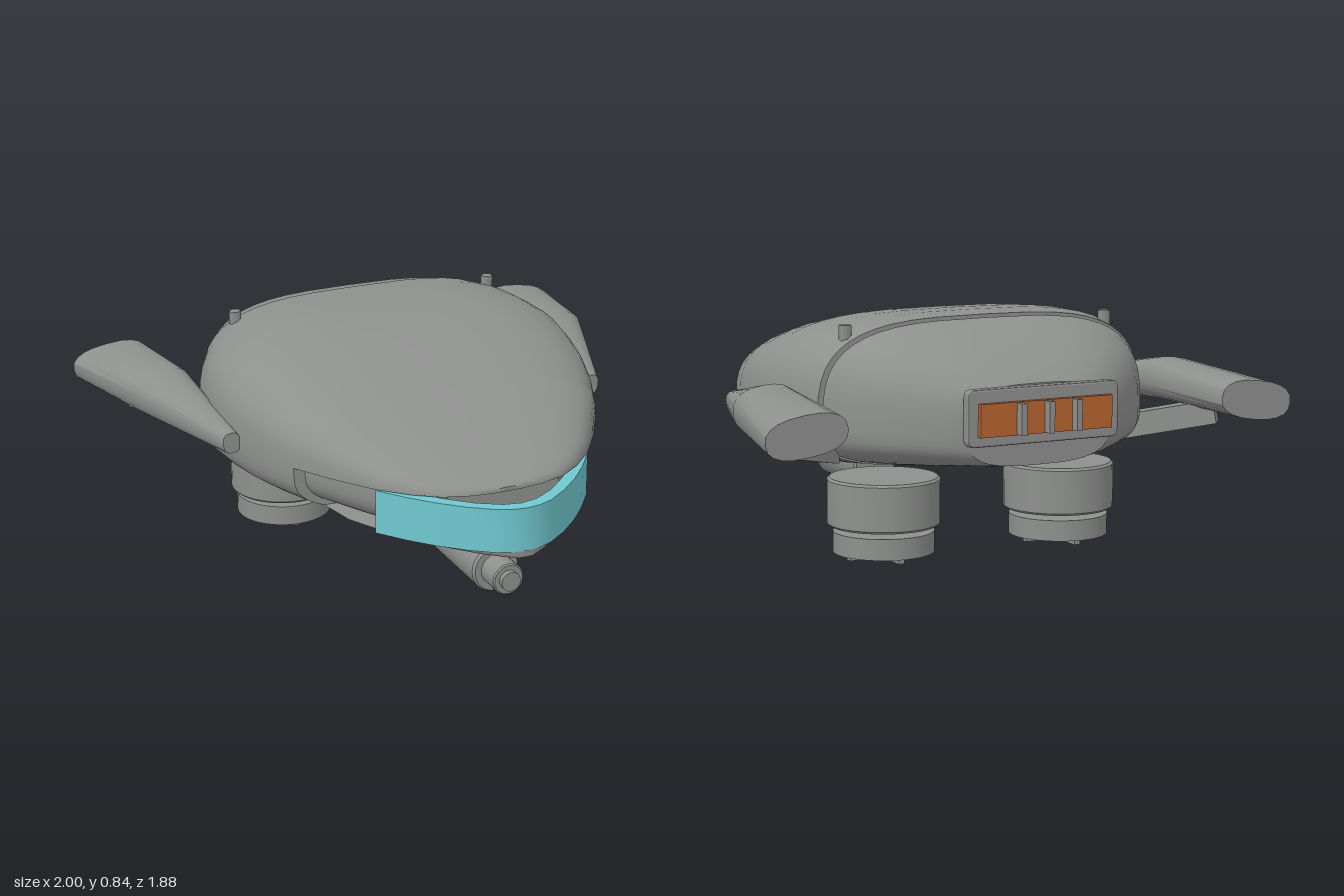
import * as THREE from 'three';
import { toCreasedNormals } from 'three/addons/utils/BufferGeometryUtils.js';

const paint = (name, color, side = THREE.FrontSide) => {
  const m = new THREE.MeshStandardMaterial({ color, side });
  m.name = name;
  return m;
};

const MID = 0.48; // height of the widest line of the hull
const SLOT_TOP = 0.495, SLOT_BOTTOM = 0.34;

// Superellipse ring, counter-clockwise seen from +z
function ring(cx, cy, z, w, up, down, nUp = 2, nDown = 2, count = 48, tilt = 0) {
  const pts = [];
  for (let i = 0; i < count; i++) {
    const a = (i / count) * Math.PI * 2, c = Math.cos(a), s = Math.sin(a);
    const n = s >= 0 ? nUp : nDown;
    const x = Math.sign(c) * w * Math.abs(c) ** (2 / n);
    const y = Math.sign(s) * (s >= 0 ? up : down) * Math.abs(s) ** (2 / n);
    pts.push(new THREE.Vector3(cx + x * Math.cos(tilt) - y * Math.sin(tilt),
      cy + x * Math.sin(tilt) + y * Math.cos(tilt), z));
  }
  return pts;
}

// Skin over rings ordered from front (+z) to back, closed at both ends
function loft(rings, crease = 0.6) {
  const n = rings[0].length, pos = [], idx = [];
  rings.forEach(r => r.forEach(p => pos.push(p.x, p.y, p.z)));
  for (let j = 0; j < rings.length - 1; j++) {
    for (let i = 0; i < n; i++) {
      const k = (i + 1) % n;
      const a = j * n + i, b = j * n + k, d = a + n, c = b + n;
      idx.push(a, d, b, b, d, c);
    }
  }
  [0, rings.length - 1].forEach((j, end) => {
    const mid = new THREE.Vector3();
    rings[j].forEach(p => mid.addScaledVector(p, 1 / n));
    const m = pos.length / 3;
    pos.push(mid.x, mid.y, mid.z);
    for (let i = 0; i < n; i++) {
      const a = j * n + i, b = j * n + (i + 1) % n;
      if (end) idx.push(m, b, a); else idx.push(m, a, b);
    }
  });
  const g = new THREE.BufferGeometry();
  g.setAttribute('position', new THREE.Float32BufferAttribute(pos, 3));
  g.setIndex(idx);
  return toCreasedNormals(g, crease);
}

// Hull stations: z, half width, top, bottom
const FRONT_TOP = [
  [0.79, 0.05, 0.51, 0.31], [0.78, 0.13, 0.515, 0.31], [0.75, 0.225, 0.527, 0.31],
  [0.69, 0.31, 0.55, 0.307], [0.6, 0.4, 0.585, 0.305], [0.47, 0.492, 0.637, 0.303], [0.32, 0.582, 0.695, 0.3]];
const FRONT_LOW = [
  [0.93, 0.04, 0, 0.313], [0.905, 0.09, 0, 0.312], [0.86, 0.155, 0, 0.311], [0.78, 0.245, 0, 0.31],
  [0.7, 0.32, 0, 0.308], [0.6, 0.4, 0, 0.305], [0.47, 0.492, 0, 0.303], [0.32, 0.582, 0, 0.3]];
const MAIN = [
  [0.32, 0.582, 0.695, 0.3], [0.2, 0.635, 0.738, 0.3], [0.08, 0.673, 0.775, 0.298],
  [-0.04, 0.697, 0.805, 0.298], [-0.16, 0.709, 0.828, 0.3], [-0.28, 0.695, 0.836, 0.308],
  [-0.38, 0.673, 0.838, 0.316], [-0.475, 0.63, 0.83, 0.324]];
const REAR = [
  [-0.492, 0.62, 0.82, 0.33], [-0.58, 0.572, 0.802, 0.338], [-0.67, 0.505, 0.767, 0.347],
  [-0.76, 0.41, 0.717, 0.357], [-0.82, 0.335, 0.673, 0.363], [-0.858, 0.27, 0.64, 0.367]];
const hullRing = ([z, w, top, bottom], nDown = 3, k = 1) =>
  ring(0, MID, z, w * k, (top - MID) * k, (MID - bottom) * k, 3.3, nDown);

export function createModel() {
  const model = new THREE.Group();
  model.name = 'hoverCraft';
  const gray = paint('hull gray', 0x8e908e);
  const cyan = paint('visor cyan', 0x70c8d0);
  const orange = paint('exhaust orange', 0xb86430);
  const glass = paint('lens blue', 0x66889a);

  const add = (name, geo, mat, x = 0, y = 0, z = 0, parent = model) => {
    const m = new THREE.Mesh(geo, mat);
    m.name = name;
    m.position.set(x, y, z);
    parent.add(m);
    return m;
  };
  const cyl = (r, h, sides = 40) => new THREE.CylinderGeometry(r, r, h, sides);

  // Hull, split by a narrow seam, with an inner core behind the slot and the seam
  add('mainHull', loft(MAIN.map(s => hullRing(s))), gray);
  add('rearHull', loft(REAR.map(s => hullRing(s))), gray);
  add('innerCore', loft([...FRONT_TOP.slice(2, -1), ...MAIN, ...REAR.slice(0, 3)]
    .map(s => hullRing(s, 3, 0.93))), gray);

  // Nose above the slot
  add('upperNose', loft(FRONT_TOP.map(s => hullRing(s).map(p => {
    p.y = Math.max(p.y, SLOT_TOP);
    return p;
  }))), gray);

  // Chin below the slot, squarer towards the tip
  add('chin', loft(FRONT_LOW.map(s => {
    const n = 3 + 5 * (s[0] - 0.32) / 0.61;
    const edge = s[1] * (1 - ((MID - SLOT_BOTTOM) / (MID - s[3])) ** n) ** (1 / n);
    return hullRing([s[0], s[1], MID + 0.01, s[3]], n).map(p => {
      if (p.y > SLOT_BOTTOM) {
        p.y = SLOT_BOTTOM;
        p.x = Math.sign(p.x) * Math.min(Math.abs(p.x), edge);
      }
      return p;
    });
  })), gray);

  // Curved visor band
  const outer = [[0.4, 0.6], [0.33, 0.695], [0.26, 0.775], [0.18, 0.85], [0.1, 0.908], [0.05, 0.928], [0, 0.935]];
  const inner = [[0, 0.89], [0.06, 0.878], [0.14, 0.83], [0.22, 0.755], [0.3, 0.66], [0.365, 0.565]];
  const half = [...outer, ...inner];
  const outline = [...outer, ...outer.slice(0, -1).reverse().map(([x, z]) => [-x, z]),
    ...inner.slice().reverse().map(([x, z]) => [-x, z]), ...inner.slice(1)];
  const visorShape = new THREE.Shape(outline.map(([x, z]) => new THREE.Vector2(x, -z)));
  const visorGeo = new THREE.ExtrudeGeometry(visorShape, { depth: 0.155, bevelEnabled: false });
  visorGeo.rotateX(-Math.PI / 2);
  add('visor', toCreasedNormals(visorGeo, 0.5), cyan, 0, 0.337, 0);

  // Rear exhaust panel with frame, glowing plate and fins
  const frame = new THREE.Shape();
  const fw = 0.285, fh = 0.095, r = 0.025;
  frame.moveTo(-fw + r, -fh);
  frame.lineTo(fw - r, -fh).quadraticCurveTo(fw, -fh, fw, -fh + r);
  frame.lineTo(fw, fh - r).quadraticCurveTo(fw, fh, fw - r, fh);
  frame.lineTo(-fw + r, fh).quadraticCurveTo(-fw, fh, -fw, fh - r);
  frame.lineTo(-fw, -fh + r).quadraticCurveTo(-fw, -fh, -fw + r, -fh);
  add('exhaustFrame', new THREE.ExtrudeGeometry(frame,
    { depth: 0.024, bevelSize: 0.006, bevelThickness: 0.008, bevelOffset: -0.006, bevelSegments: 2 }), gray, 0, 0.54, -0.882);
  add('exhaustGlow', new THREE.BoxGeometry(0.5, 0.11, 0.03), orange, 0, 0.535, -0.893);
  for (const x of [-0.105, 0, 0.105]) {
    add('exhaustFin', new THREE.BoxGeometry(0.02, 0.105, 0.06), gray, x, 0.535, -0.91);
  }

  // Parts repeated on both sides
  for (const s of [1, -1]) {
    const name = s > 0 ? 'left' : 'right';

    // Swept wing: z, centre x, centre y, half width, half height
    const wing = [[0.05, 0.705, 0.508, 0.032, 0.038], [-0.43, 0.8, 0.553, 0.115, 0.078], [-0.88, 0.855, 0.527, 0.145, 0.068]];
    add(name + 'Wing', loft(wing.map(([z, x, y, w, h]) =>
      ring(s * x, y, z, w, h, h, 2.5, 2.5, 20, -s * 0.13)), 0.5), gray);

    // Strut between hull and wing
    const from = new THREE.Vector3(s * 0.58, 0.4, -0.46), to = new THREE.Vector3(s * 0.83, 0.465, -0.67);
    const strut = add(name + 'Strut', new THREE.BoxGeometry(0.08, 0.085, from.distanceTo(to)), gray);
    strut.position.copy(from).lerp(to, 0.5);
    strut.lookAt(to);

    // Hexagonal bolt on top
    add(name + 'Bolt', cyl(0.022, 0.06, 6), gray, s * 0.508, 0.785, -0.435);

    // Lift thruster: housing, nozzle, lens and crossbars
    const lift = new THREE.Group();
    lift.name = name + 'Thruster';
    lift.position.set(s * 0.347, 0, -0.4);
    model.add(lift);
    const housing = [[0, 0.118], [0.187, 0.118], [0.195, 0.126], [0.195, 0.277], [0.187, 0.285], [0, 0.285]];
    add('housing', toCreasedNormals(new THREE.LatheGeometry(housing.map(p => new THREE.Vector2(...p)), 40), 0.5), gray, 0, 0, 0, lift);
    const nozzle = [[0, 0.045], [0.135, 0.045], [0.14, 0.025], [0.175, 0.025], [0.175, 0.098], [0, 0.098]];
    add('nozzle', toCreasedNormals(new THREE.LatheGeometry(nozzle.map(p => new THREE.Vector2(...p)), 40), 0.5), gray, 0, 0, 0, lift);
    add('lens', cyl(0.134, 0.008), glass, 0, 0.038, 0, lift);
    add('crossbar', new THREE.BoxGeometry(0.27, 0.026, 0.022), gray, 0, 0.015, 0, lift);
    add('crossbar', new THREE.BoxGeometry(0.022, 0.026, 0.27), gray, 0, 0.015, 0, lift);
  }

  // Forward cannon under the nose
  const barrel = [[0, 0.36], [0.08, 0.36], [0.087, 0.368], [0.087, 0.7], [0.08, 0.71], [0.057, 0.71],
    [0.057, 0.8], [0.052, 0.805], [0.035, 0.805], [0.035, 0.825], [0, 0.825]];
  const gun = new THREE.LatheGeometry(barrel.map(p => new THREE.Vector2(...p)), 32);
  gun.rotateX(Math.PI / 2);
  add('cannon', toCreasedNormals(gun, 0.5), gray, 0, 0.175, 0);

  return model;
}
